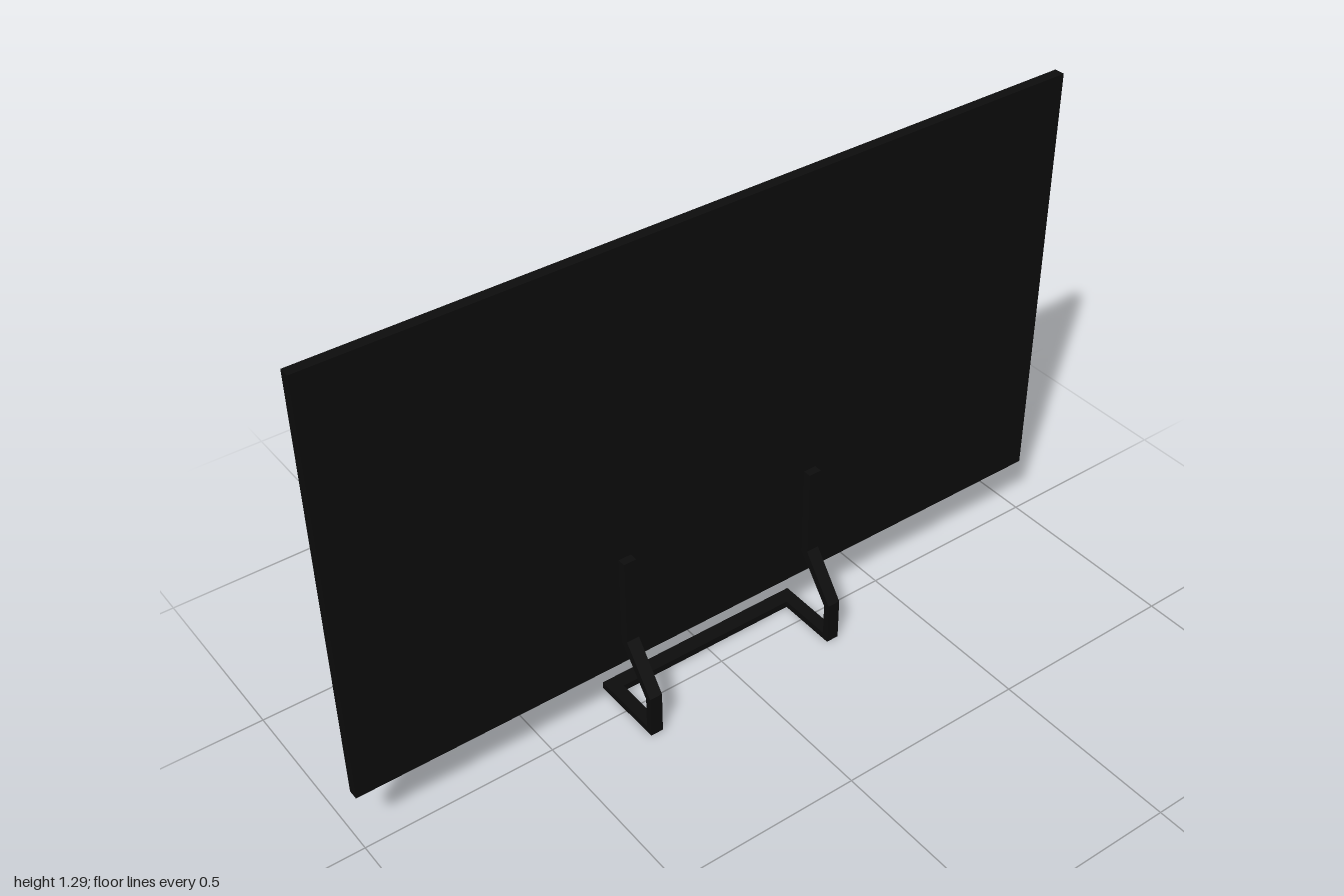
import * as THREE from 'three';

export function createModel() {
  const group = new THREE.Group();
  const material = new THREE.MeshStandardMaterial({ color: 0x0c0c0c });
  const add = (name, geometry, x, y, z) => {
    const mesh = new THREE.Mesh(geometry, material);
    mesh.name = name;
    mesh.position.set(x, y, z);
    group.add(mesh);
  };

  // Thin flat display panel
  add('screenPanel', new THREE.BoxGeometry(2, 1.14, 0.027), 0, 0.725, -0.0205);

  // Bent flat-bar leg: side profile as (z, y), running from the foot up to the bracket
  const legWidth = 0.034, legX = 0.27;
  const profile = new THREE.Shape([
    [-0.1, 0], [0.103, 0], [0.103, 0.118], [0.014, 0.236], [0.014, 0.474],
    [-0.009, 0.474], [-0.009, 0.229], [0.086, 0.108], [0.086, 0.018], [-0.1, 0.018],
  ].map(([z, y]) => new THREE.Vector2(z, y)));
  const legGeometry = new THREE.ExtrudeGeometry(profile, { depth: legWidth, bevelEnabled: false });
  legGeometry.translate(0, 0, -legWidth / 2).rotateY(-Math.PI / 2);
  add('leftLeg', legGeometry, legX, 0, 0);
  add('rightLeg', legGeometry, -legX, 0, 0);

  // Rear floor bar joining the two feet
  add('rearBar', new THREE.BoxGeometry(2 * legX - legWidth, 0.018, 0.04), 0, 0.009, -0.08);

  return group;
}
